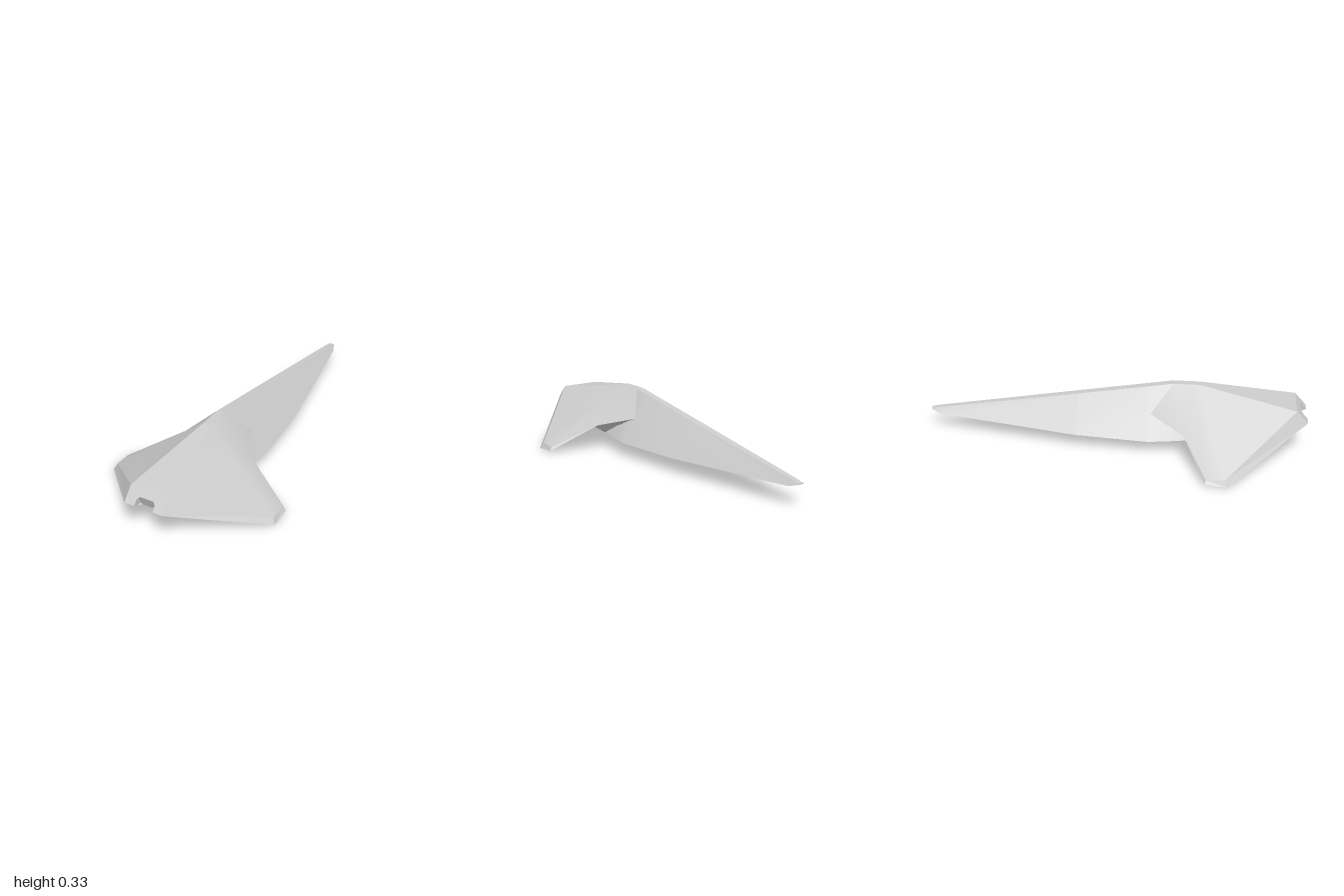
import * as THREE from 'three';

const material = new THREE.MeshStandardMaterial({ color: 0xcccccc, side: THREE.DoubleSide });

// Surface from corner points and polygons (fanned); side = -1 mirrors it.
function skin(points, faces, side, smooth) {
  const index = [];
  for (const f of faces) {
    for (let i = 1; i < f.length - 1; i++) {
      index.push(...(side > 0 ? [f[0], f[i], f[i + 1]] : [f[0], f[i + 1], f[i]]));
    }
  }
  let g = new THREE.BufferGeometry();
  g.setAttribute('position', new THREE.Float32BufferAttribute(points.flatMap(([x, y, z]) => [x * side, y, z]), 3));
  g.setIndex(index);
  if (!smooth) g = g.toNonIndexed();
  g.computeVertexNormals();
  return g;
}

// Strip of quads between two rows of points of equal length.
function strip(a, b, side, smooth) {
  const n = a.length, faces = [];
  for (let i = 0; i < n - 1; i++) faces.push([i + 1, n + i + 1, n + i, i]);
  return skin([...a, ...b], faces, side, smooth);
}

// Flat outline in x and y, with its depth set by a rule.
function panel(outline, depth) {
  const g = new THREE.ShapeGeometry(new THREE.Shape(outline.map(([x, y]) => new THREE.Vector2(x, y))));
  const p = g.attributes.position;
  for (let i = 0; i < p.count; i++) p.setZ(i, depth(p.getY(i)));
  g.computeVertexNormals();
  return g;
}

export function createModel() {
  const group = new THREE.Group();
  const add = (name, geometry) => {
    const mesh = new THREE.Mesh(geometry, material);
    mesh.name = name;
    group.add(mesh);
  };

  // Hull stations: upper ridge edge and lower chine, from tail to front
  const ridge = [[0.012, 0.12, -1], [0.015, 0.129, -0.95], [0.02, 0.252, -0.2],
    [0.02, 0.315, 0.18], [0.02, 0.335, 0.3], [0.02, 0.335, 0.44]];
  const chine = [[0.016, 0.115, -1], [0.035, 0.1, -0.95], [0.165, 0.083, -0.2],
    [0.195, 0.08, 0.18], [0.18, 0.08, 0.28], [0.15, 0.08, 0.43]];
  const noseTop = [0.105, 0.25, 0.94];
  const chin = [0.14, 0.11, 0.83];
  const centre = (row) => row.map(([, y, z]) => [0, y, z]);
  const deck = [...ridge, noseTop];
  const keel = [...chine, chin];

  // Wing corners
  const W = [
    noseTop,               // 0 nose, upper
    [0.455, 0.035, 0.585], // 1 tip front, upper
    [0.458, 0.03, 0.49],   // 2 tip rear, upper
    [0.235, 0.145, 0.37],  // 3 trailing edge bend
    [0.11, 0.2, 0.19],     // 4 trailing edge root
    ridge[4],              // 5 ridge, rear
    ridge[5],              // 6 ridge, front
    [0.105, 0.185, 1],     // 7 nose, lower
    [0.47, 0.003, 0.6],    // 8 tip front, lower
    [0.47, 0.012, 0.485],  // 9 tip rear, lower
    [0.235, 0.119, 0.858], // 10 chin crease on leading edge
    chin,                  // 11
    chine[5],              // 12
  ];

  for (const [label, s] of [['left', 1], ['right', -1]]) {
    add(label + 'Flank', strip(ridge, chine, s, true));
    add(label + 'Deck', strip(centre(deck), deck, s, false));
    add(label + 'Belly', strip(keel, centre(keel), s, false));
    add(label + 'TailCap', skin([[0, 0.12, -1], ridge[0], chine[0], [0, 0.115, -1]], [[0, 1, 2, 3]], s));
    add(label + 'WingTop', skin(W, [[0, 1, 6], [1, 2, 6], [2, 3, 6], [6, 3, 5], [5, 3, 4]], s, true));
    add(label + 'WingEdge', skin(W, [[7, 8, 1, 0], [8, 9, 2, 1], [9, 3, 2]], s));
    add(label + 'WingUnderside', skin(W, [[7, 11, 10], [11, 12, 3, 10], [10, 3, 9, 8], [12, 4, 3]], s));
  }

  // Nose lip: sloped face above, chin below, with a rounded notch through both
  const lip = 0.185;
  const surface = (y) => (y > lip ? 1 - (y - lip) * 0.923 : 1 - (lip - y) * 2.267);
  const back = (y) => 0.943 + (y - 0.16) * 0.417;
  const upper = [[-0.05, lip], [-0.05, 0.208], [-0.038, 0.22], [0.038, 0.22], [0.05, 0.208], [0.05, lip]];
  const lower = [[0.05, lip], [0.05, 0.172], [0.038, 0.16], [-0.038, 0.16], [-0.05, 0.172], [-0.05, lip]];
  add('noseFace', panel([[-0.105, lip], ...upper, [0.105, lip], [0.105, 0.25], [-0.105, 0.25]], surface));
  add('chinFace', panel([[-0.14, 0.11], [0.14, 0.11], [0.105, lip], ...lower, [-0.105, lip]], surface));

  // Notch back wall and side walls
  const rim = [...upper, ...lower.slice(1)];
  add('notchBack', panel(rim.slice(0, -1).reverse(), back));
  add('notchWalls', strip(rim.map(([x, y]) => [x, y, surface(y)]), rim.map(([x, y]) => [x, y, back(y)]), 1, false));

  return group;
}
